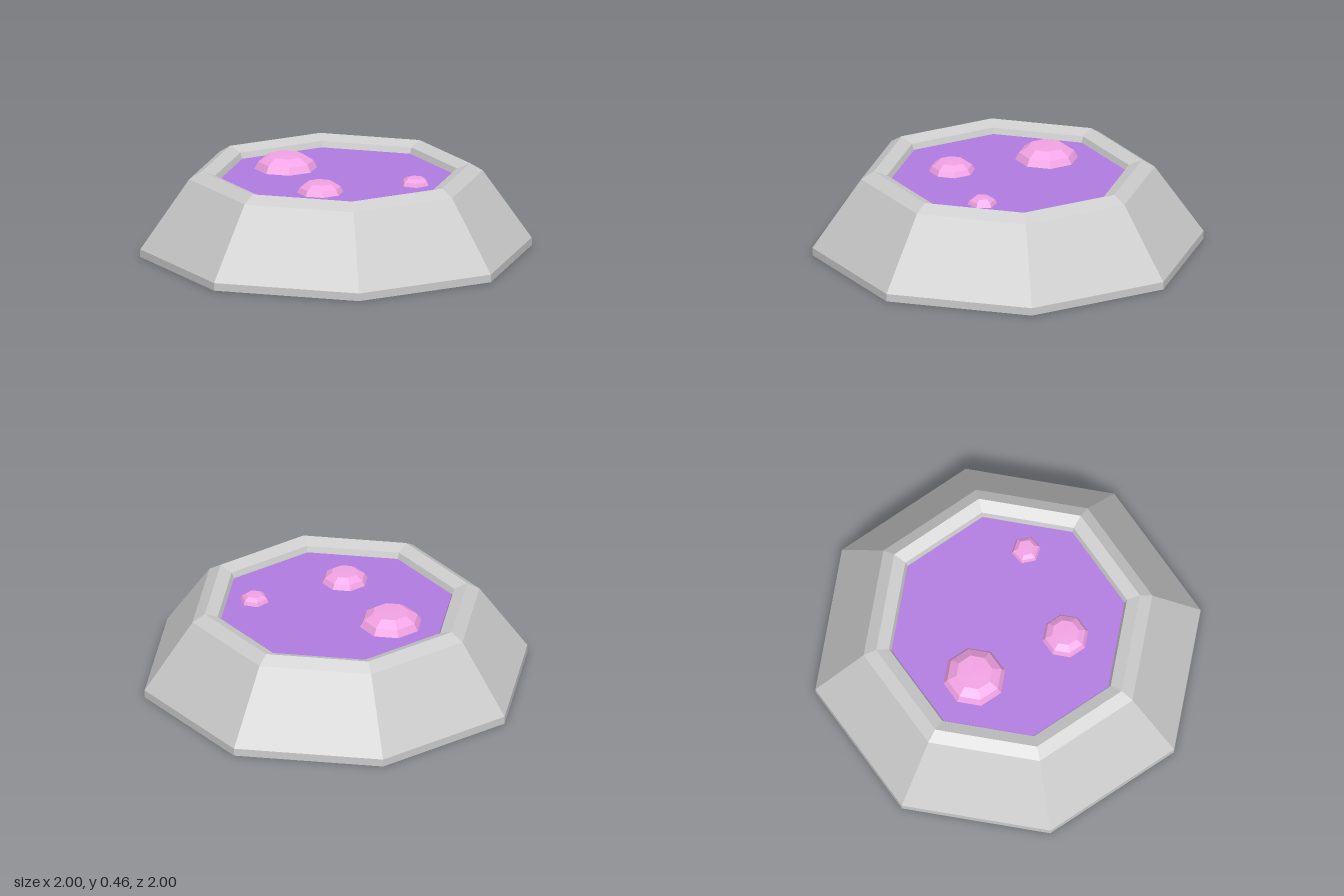
import * as THREE from 'three';

// Faceted solid of revolution from [radius, height] pairs, listed from bottom to top
function facetedLathe(name, profile, sides, color) {
  const points = profile.map(([r, y]) => new THREE.Vector2(r, y));
  const mesh = new THREE.Mesh(
    new THREE.LatheGeometry(points, sides),
    new THREE.MeshStandardMaterial({ color, flatShading: true })
  );
  mesh.name = name;
  return mesh;
}

export function createModel() {
  const model = new THREE.Group();
  model.name = 'bubblingPool';
  const level = 0.385;

  // Octagonal stone basin: closed bottom, low plinth, sloped wall, bevelled rim, inner wall
  model.add(facetedLathe('basin', [
    [0, 0], [1, 0], [1, 0.04], [0.75, 0.4], [0.685, 0.44],
    [0.618, 0.415], [0.602, 0.37], [0, 0.37],
  ], 8, 0xcccccc));

  // Liquid surface filling the basin
  model.add(facetedLathe('liquid', [[0.605, 0.372], [0.605, level], [0, level]], 8, 0xb07ce0));

  // Domed bubbles: position, base radius, height, number of sides
  const bubbles = new THREE.Group();
  bubbles.name = 'bubbles';
  const specs = [
    { x: -0.23, z: -0.225, r: 0.16, h: 0.07, sides: 8 },
    { x: -0.113, z: 0.273, r: 0.118, h: 0.052, sides: 8 },
    { x: 0.383, z: 0.178, r: 0.075, h: 0.036, sides: 6 },
  ];
  for (const { x, z, r, h, sides } of specs) {
    const bubble = facetedLathe('bubble', [
      [r, -0.005], [r, 0], [r * 0.88, h * 0.52], [r * 0.58, h * 0.97], [0, h],
    ], sides, 0xf2a2e4);
    bubble.position.set(x, level, z);
    bubbles.add(bubble);
  }
  model.add(bubbles);

  return model;
}
